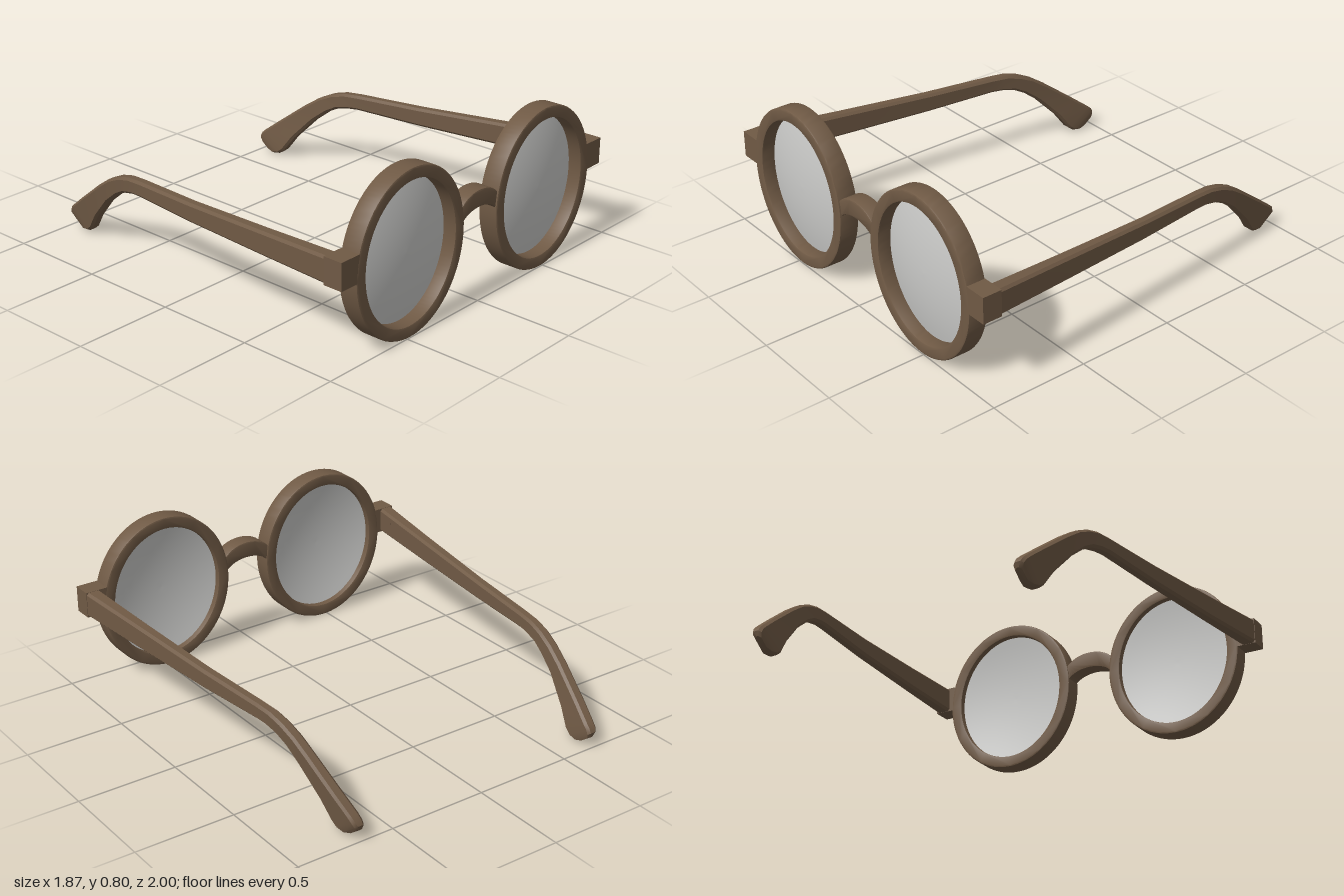
import * as THREE from 'three';
import { toCreasedNormals } from 'three/addons/utils/BufferGeometryUtils.js';

const frameMat = new THREE.MeshStandardMaterial({ color: 0x705a45 });
frameMat.name = 'brown frame';
const lensMat = new THREE.MeshStandardMaterial({ color: 0xcbcbc9, side: THREE.DoubleSide });
lensMat.name = 'pale grey lens';

const EYE_X = 0.478, EYE_Y = 0.402;

function add(parent, name, geometry, material) {
  const mesh = new THREE.Mesh(geometry, material);
  mesh.name = name;
  parent.add(mesh);
  return mesh;
}

// Extrude a front-facing outline from z0 to z1 with a small softened edge
function plate(shape, z0, z1, bevel = 0.008) {
  const geo = new THREE.ExtrudeGeometry(shape, {
    depth: z1 - z0 - 2 * bevel, bevelEnabled: true, bevelThickness: bevel,
    bevelSize: bevel, bevelOffset: -bevel, bevelSegments: 2, curveSegments: 48,
  });
  geo.translate(0, 0, z0 + bevel);
  return toCreasedNormals(geo, 0.6);
}

// Oval ring around a lens
function rimGeometry() {
  const shape = new THREE.Shape();
  shape.absellipse(0, 0, 0.361, 0.402, 0, Math.PI * 2, false);
  const hole = new THREE.Path();
  hole.absellipse(0, 0, 0.3, 0.342, 0, Math.PI * 2, true);
  shape.holes.push(hole);
  return plate(shape, 0.9, 1);
}

// Shallow dome, bulging forward
function lensGeometry() {
  const profile = [];
  for (let i = 0; i <= 8; i++) {
    const r = 1 - i / 8;
    profile.push(new THREE.Vector2(r, 0.93 + 0.04 * (1 - r * r)));
  }
  const geo = new THREE.LatheGeometry(profile, 48);
  geo.rotateX(Math.PI / 2);
  geo.scale(0.306, 0.348, 1);
  return geo;
}

// Arched nose bridge
function bridgeGeometry() {
  const s = new THREE.Shape();
  s.moveTo(-0.155, 0.385);
  s.lineTo(-0.122, 0.417);
  s.bezierCurveTo(-0.075, 0.477, 0.075, 0.477, 0.122, 0.417);
  s.lineTo(0.155, 0.385);
  s.lineTo(0.155, 0.47);
  s.lineTo(0.126, 0.5);
  s.bezierCurveTo(0.065, 0.563, -0.065, 0.563, -0.126, 0.5);
  s.lineTo(-0.155, 0.47);
  return plate(s, 0.905, 0.992, 0.006);
}

// Temple arm stations: top z, top y, bottom z, bottom y, centre x, width
const STATIONS = [
  [0.902, 0.52, 0.902, 0.39, 0.894, 0.076],
  [0.5, 0.49, 0.5, 0.374, 0.855, 0.064],
  [0.0, 0.455, 0.0, 0.36, 0.807, 0.056],
  [-0.38, 0.438, -0.38, 0.36, 0.768, 0.056],
  [-0.47, 0.43, -0.44, 0.355, 0.759, 0.057],
  [-0.55, 0.408, -0.51, 0.338, 0.75, 0.058],
  [-0.63, 0.37, -0.57, 0.306, 0.74, 0.058],
  [-0.715, 0.313, -0.655, 0.24, 0.728, 0.058],
  [-0.88, 0.188, -0.77, 0.12, 0.7, 0.06],
  [-0.965, 0.122, -0.83, 0.036, 0.683, 0.06],
  [-0.99, 0.1, -0.86, 0.012, 0.679, 0.058],
  [-1.0, 0.08, -0.9, 0.003, 0.675, 0.05],
  [-0.994, 0.056, -0.935, 0.012, 0.672, 0.034],
];

// Loft a chamfered rectangle along the stations
function templeGeometry(side) {
  const pos = [], index = [], n = 8;
  const tri = (a, b, c) => index.push(...(side > 0 ? [a, b, c] : [a, c, b]));
  for (const [zt, yt, zb, yb, x, w] of STATIONS) {
    const len = Math.hypot(zt - zb, yt - yb), c = 0.012, v = c / len, h = w / 2;
    const ring = [[h - c, 0], [h, v], [h, 1 - v], [h - c, 1], [c - h, 1], [-h, 1 - v], [-h, v], [c - h, 0]];
    for (const [u, t] of ring) {
      pos.push(side * (x + u), THREE.MathUtils.lerp(yb, yt, t), THREE.MathUtils.lerp(zb, zt, t));
    }
  }
  const last = (STATIONS.length - 1) * n;
  for (let r = 0; r < last; r += n) {
    for (let j = 0; j < n; j++) {
      const k = (j + 1) % n;
      tri(r + j, r + n + j, r + k);
      tri(r + k, r + n + j, r + n + k);
    }
  }
  // Flat caps at the hinge and the tip
  for (let j = 1; j < n - 1; j++) {
    tri(0, j, j + 1);
    tri(last, last + j + 1, last + j);
  }
  const geo = new THREE.BufferGeometry();
  geo.setAttribute('position', new THREE.Float32BufferAttribute(pos, 3));
  geo.setIndex(index);
  return toCreasedNormals(geo, 0.65);
}

export function createModel() {
  const model = new THREE.Group();
  model.name = 'roundGlasses';

  add(model, 'bridge', bridgeGeometry(), frameMat);

  for (const side of [1, -1]) {
    const half = new THREE.Group();
    half.name = side > 0 ? 'leftHalf' : 'rightHalf';
    model.add(half);

    add(half, 'rim', rimGeometry(), frameMat).position.set(side * EYE_X, EYE_Y, 0);
    add(half, 'lens', lensGeometry(), lensMat).position.set(side * EYE_X, EYE_Y, 0);

    // Block joining the rim to the arm
    add(half, 'endPiece', new THREE.BoxGeometry(0.12, 0.132, 0.098), frameMat)
      .position.set(side * 0.874, 0.455, 0.95);

    // Small hinge set into the arm
    const hinge = add(half, 'hinge', new THREE.BoxGeometry(0.072, 0.065, 0.1), frameMat);
    hinge.position.set(side * 0.888, 0.442, 0.85);
    hinge.rotation.y = side * 0.097;

    add(half, 'temple', templeGeometry(side), frameMat);
  }
  return model;
}
